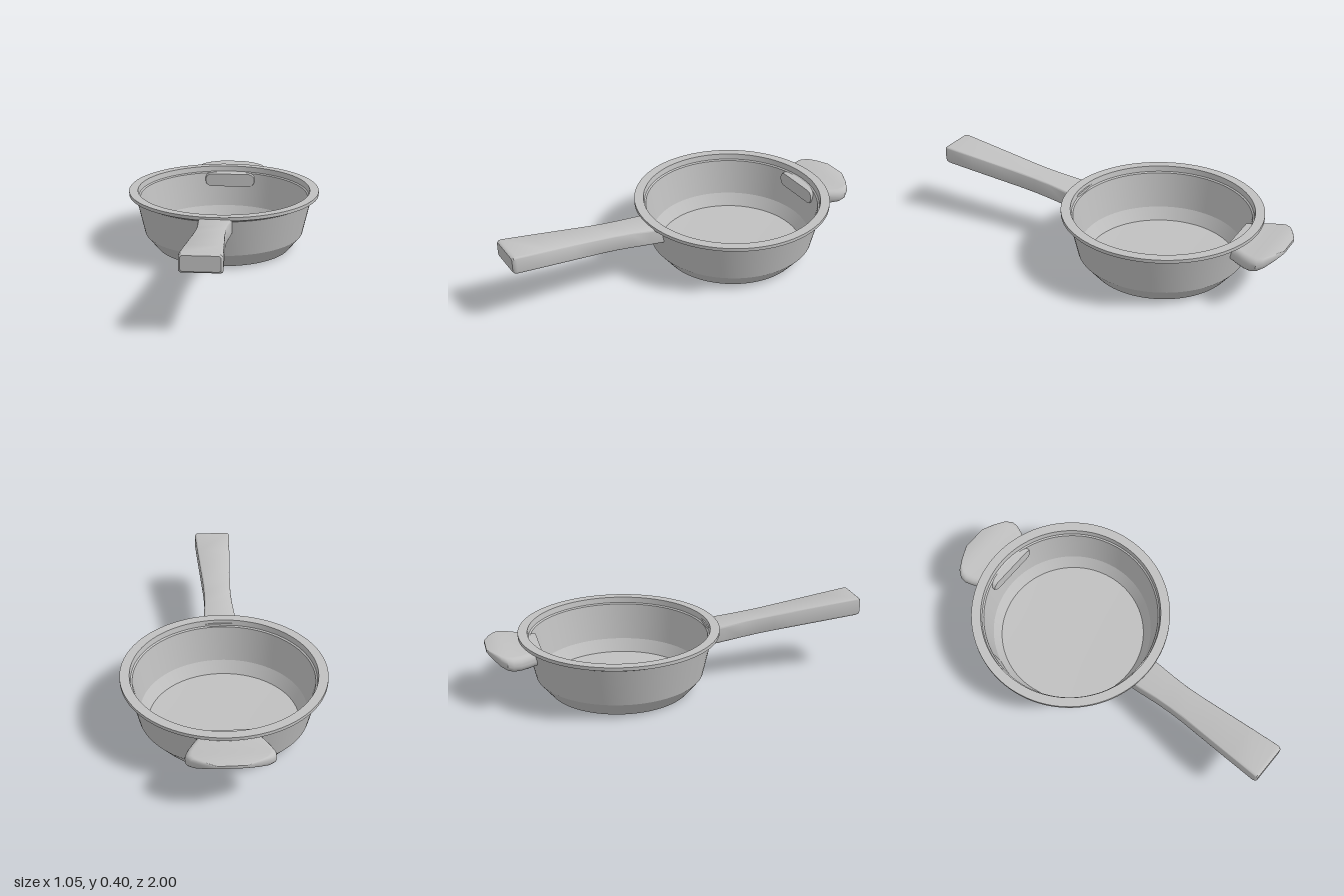
import * as THREE from 'three';
import { toCreasedNormals } from 'three/addons/utils/BufferGeometryUtils.js';

// Rounded-rectangle ring, counter-clockwise seen from +z
function ring([z, halfWidth, bottom, top, radius], cx, steps) {
  const cy = (bottom + top) / 2;
  const halfHeight = (top - bottom) / 2;
  const r = Math.min(radius, halfWidth * 0.98, halfHeight * 0.98);
  const points = [];
  [[1, 1], [-1, 1], [-1, -1], [1, -1]].forEach(([sx, sy], q) => {
    for (let k = 0; k <= steps; k++) {
      const a = (q + k / steps) * Math.PI / 2;
      points.push([
        cx + sx * (halfWidth - r) + r * Math.cos(a),
        cy + sy * (halfHeight - r) + r * Math.sin(a),
        z,
      ]);
    }
  });
  return points;
}

// Closed solid through sections [z, halfWidth, bottom, top, cornerRadius], z rising
function loft(sections, cx, steps = 5) {
  const rings = sections.map((s) => ring(s, cx, steps));
  const n = rings[0].length;
  const index = [];
  for (let i = 0; i < rings.length - 1; i++) {
    for (let j = 0; j < n; j++) {
      const a = i * n + j;
      const b = i * n + (j + 1) % n;
      index.push(a, b, b + n, a, b + n, a + n);
    }
  }
  const last = (rings.length - 1) * n;
  for (let j = 1; j < n - 1; j++) {
    index.push(0, j + 1, j, last, last + j, last + j + 1);
  }
  const geometry = new THREE.BufferGeometry();
  geometry.setAttribute('position', new THREE.Float32BufferAttribute(rings.flat(2), 3));
  geometry.setIndex(index);
  return toCreasedNormals(geometry, 0.6);
}

export function createModel() {
  const group = new THREE.Group();
  const metal = new THREE.MeshStandardMaterial({ color: 0xc0c0c0 });
  metal.name = 'grey metal';

  const add = (name, geometry) => {
    const mesh = new THREE.Mesh(geometry, metal);
    mesh.name = name;
    group.add(mesh);
    return mesh;
  };

  // Thin-walled bowl: outside from the base up, over the rim and lid ledge, then down inside
  const profile = [
    [0, 0], [0.373, 0], [0.44, 0.082], [0.486, 0.284], [0.525, 0.302], [0.525, 0.32],
    [0.476, 0.32], [0.471, 0.29], [0.463, 0.284],
    [0.43, 0.09], [0.391, 0.025], [0.2, 0.02], [0, 0.02],
  ].map(([x, y]) => new THREE.Vector2(x, y));
  const bowl = add('panBowl', toCreasedNormals(new THREE.LatheGeometry(profile, 96), 0.25));
  bowl.position.z = -0.306;

  // Long handle: rises towards the front, narrow at the waist, rounded at the end
  const start = 0.16;
  const longSections = [
    [start, 0.087], [0.24, 0.084], [0.34, 0.077], [0.43, 0.074], [0.52, 0.076],
    [0.66, 0.084], [0.82, 0.093], [0.978, 0.101], [0.992, 0.099], [1, 0.092],
  ].map(([z, halfWidth], i) => {
    const t = (z - start) / (1 - start);
    const inset = [0.003, 0.01][i - 8] ?? 0;
    return [z, halfWidth, 0.211 + 0.1 * t + inset, 0.302 + 0.104 * t - inset, 0.013];
  });
  add('longHandle', loft(longSections, -0.01));

  // Helper handle: broad lip whose underside curves up to a thin tip
  add('helperHandle', loft([
    [-1, 0.07, 0.278, 0.294, 0.008],
    [-0.97, 0.138, 0.256, 0.295, 0.018],
    [-0.94, 0.19, 0.237, 0.293, 0.026],
    [-0.91, 0.213, 0.22, 0.29, 0.032],
    [-0.88, 0.214, 0.21, 0.287, 0.035],
    [-0.84, 0.2, 0.206, 0.285, 0.037],
    [-0.8, 0.178, 0.205, 0.285, 0.037],
    [-0.76, 0.154, 0.206, 0.285, 0.036],
    [-0.728, 0.143, 0.209, 0.284, 0.034],
  ], 0.005));

  return group;
}
